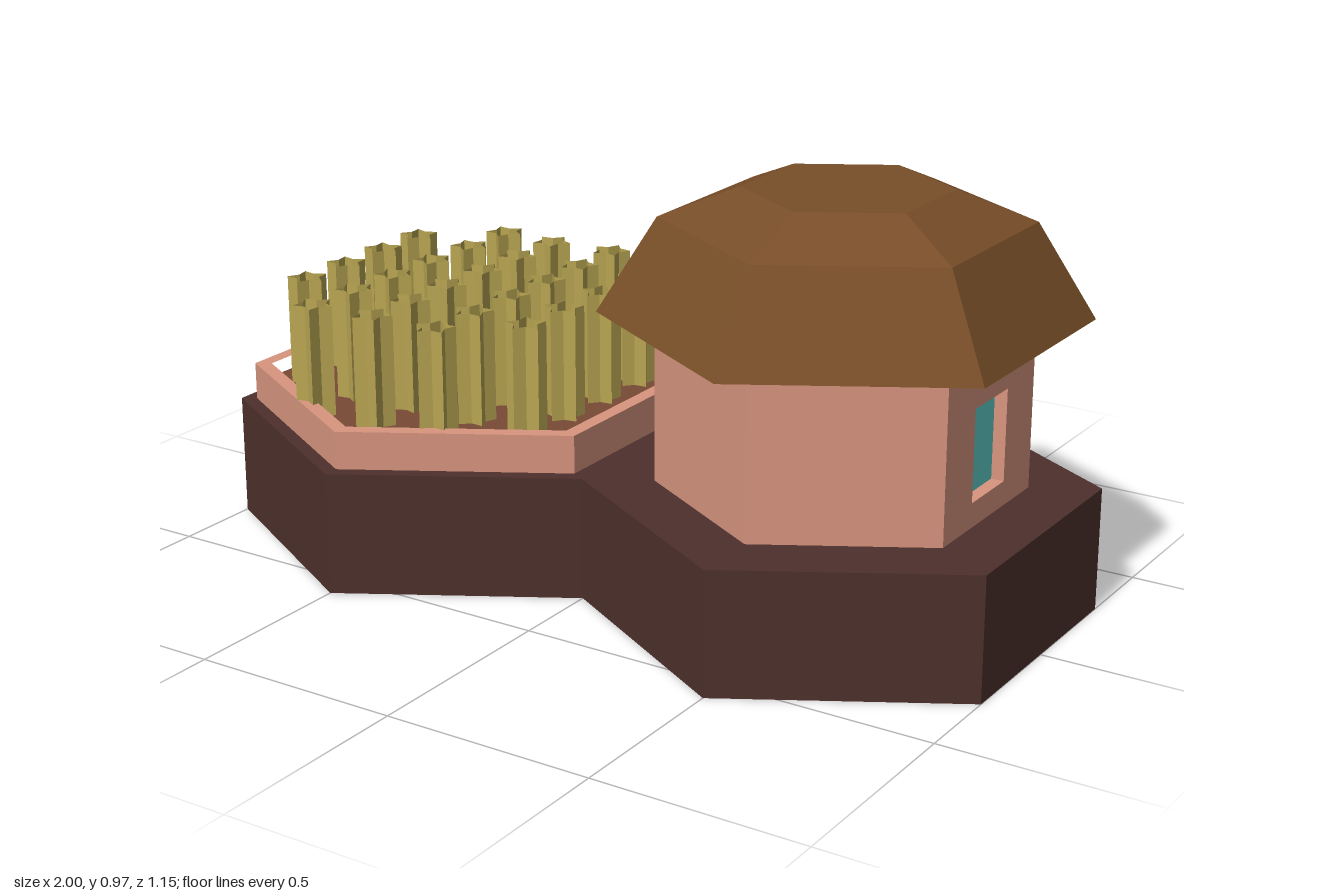
import * as THREE from 'three';

const mat = (color, extra = {}) => new THREE.MeshStandardMaterial({ color, flatShading: true, ...extra });

const MATS = {
  base: mat(0x4e302c),
  clay: mat(0xd8957f),
  soil: mat(0x784a35),
  thatch: mat(0x784e28),
  glass: mat(0x60d0cc),
  crop: mat(0xb8a552, { side: THREE.DoubleSide }),
};

function add(parent, name, geometry, material, x = 0, y = 0, z = 0) {
  const mesh = new THREE.Mesh(geometry, material);
  mesh.name = name;
  mesh.position.set(x, y, z);
  parent.add(mesh);
  return mesh;
}

// Upright six-sided prism, corners pointing to +z and -z, standing on y = 0
const hexPrism = (r, h) => new THREE.CylinderGeometry(r, r, h, 6).translate(0, h / 2, 0);

const hexPoints = (r) => Array.from({ length: 6 }, (_, i) => {
  const a = i * Math.PI / 3;
  return new THREE.Vector2(r * Math.sin(a), r * Math.cos(a));
});

function rectPath(path, x0, y0, x1, y1) {
  path.moveTo(x0, y0);
  path.lineTo(x1, y0);
  path.lineTo(x1, y1);
  path.lineTo(x0, y1);
  path.closePath();
  return path;
}

const BASE_H = 0.29;

// Raised planter: hexagonal rim, soil and a grid of crops
function buildGarden() {
  const g = new THREE.Group();
  g.name = 'garden';
  const rim = new THREE.Shape(hexPoints(0.54));
  rim.holes.push(new THREE.Path(hexPoints(0.5)));
  const rimGeo = new THREE.ExtrudeGeometry(rim, { depth: 0.09, bevelEnabled: false });
  add(g, 'planterRim', rimGeo.rotateX(-Math.PI / 2), MATS.clay);
  add(g, 'soil', hexPrism(0.505, 0.055), MATS.soil);

  // Open star-section bundle of stems
  const points = 5, h = 0.265;
  const stem = new THREE.CylinderGeometry(0.048, 0.048, h, points * 2, 1, true);
  const pos = stem.attributes.position;
  for (let i = 0; i < pos.count; i++) {
    if (i % (points * 2 + 1) % 2) pos.setXYZ(i, pos.getX(i) * 0.58, pos.getY(i), pos.getZ(i) * 0.58);
  }
  stem.translate(0, h / 2, 0);

  const jitter = (n) => Math.sin(n * 12.9) * 0.008;
  for (let c = 0; c < 5; c++) {
    for (let r = 0; r < 6; r++) {
      if (c % 4 === 0 && r % 5 === 0) continue; // corners fall outside the hexagon
      const k = c * 6 + r;
      const x = (c - 2) * 0.163 - 0.01 + jitter(k);
      const z = (r - 2.5) * 0.145 + 0.015 + jitter(k + 50);
      add(g, 'cropBundle', stem, MATS.crop, x, 0.055, z).rotation.y = k * 1.3;
    }
  }
  return g;
}

// Hexagonal hut: six wall panels, recessed window and door, layered roof
function buildHut() {
  const g = new THREE.Group();
  g.name = 'hut';
  const R = 0.415, apothem = R * Math.cos(Math.PI / 6), wallH = 0.4, depth = 0.03;
  const openings = {
    0: { name: 'window', y0: 0.057, y1: 0.27, material: MATS.glass },
    1: { name: 'door', y0: 0, y1: 0.19, material: MATS.thatch },
  };
  const half = 0.077;

  for (let i = 0; i < 6; i++) {
    const side = new THREE.Group();
    side.name = 'wallSide';
    side.rotation.y = Math.PI / 2 + i * Math.PI / 3;
    g.add(side);

    const o = openings[i];
    let shape = rectPath(new THREE.Shape(), -R / 2, 0, R / 2, wallH);
    if (o && o.y0 > 0) {
      shape.holes.push(rectPath(new THREE.Path(), -half, o.y0, half, o.y1));
    } else if (o) {
      // doorway cut down to the ground
      shape = new THREE.Shape([
        [-R / 2, 0], [-half, 0], [-half, o.y1], [half, o.y1],
        [half, 0], [R / 2, 0], [R / 2, wallH], [-R / 2, wallH],
      ].map(([x, y]) => new THREE.Vector2(x, y)));
    }
    const wall = new THREE.ExtrudeGeometry(shape, { depth, bevelEnabled: false });
    add(side, 'wall', wall, MATS.clay, 0, 0, apothem - depth);
    if (o) {
      const pane = new THREE.BoxGeometry(half * 2, o.y1 - o.y0, 0.02);
      add(side, o.name, pane, o.material, 0, (o.y0 + o.y1) / 2, apothem - depth - 0.01);
    }
  }

  const profile = [[0, 0.393], [0.543, 0.393], [0.41, 0.61], [0.232, 0.68], [0, 0.68]];
  const roof = new THREE.LatheGeometry(profile.map(([x, y]) => new THREE.Vector2(x, y)), 6);
  add(g, 'roof', roof, MATS.thatch);
  return g;
}

export function createModel() {
  const model = new THREE.Group();
  model.name = 'hutAndGarden';
  const garden = buildGarden(), hut = buildHut();
  for (const [part, x] of [[garden, -0.5], [hut, 0.5]]) {
    add(model, 'baseTile', hexPrism(1 / Math.sqrt(3), BASE_H), MATS.base, x);
    part.position.set(x, BASE_H, 0);
    model.add(part);
  }
  return model;
}
